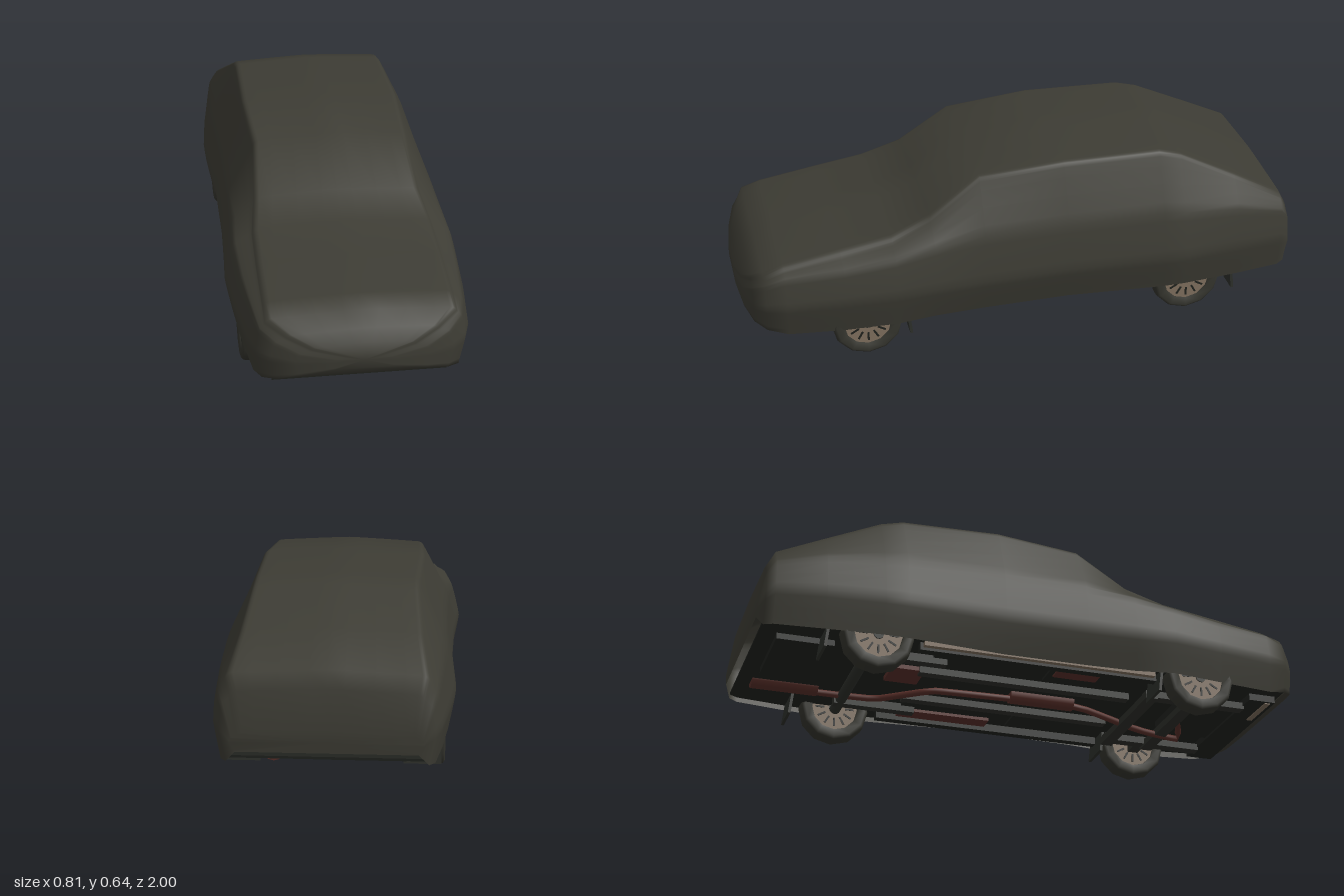
import * as THREE from 'three';

const mat = (name, color, side = THREE.FrontSide) => {
  const m = new THREE.MeshStandardMaterial({ color, side });
  m.name = name;
  return m;
};

export function createModel() {
  const group = new THREE.Group();
  const cloth = mat('cover cloth', 0x3d3c34, THREE.DoubleSide);
  const rubber = mat('tyre rubber', 0x35352e);
  const under = mat('underbody', 0x20221e);
  const frame = mat('chassis metal', 0x2e302b);
  const tan = mat('rim tan', 0x80705f);
  const rust = mat('exhaust rust', 0x5a302a);

  const add = (name, geo, m, x = 0, y = 0, z = 0) => {
    const mesh = new THREE.Mesh(geo, m);
    mesh.name = name;
    mesh.position.set(x, y, z);
    group.add(mesh);
    return mesh;
  };
  const box = (name, m, w, h, d, x, y, z) => add(name, new THREE.BoxGeometry(w, h, d), m, x, y, z);
  const tube = (name, m, pts, r) => {
    const path = new THREE.CatmullRomCurve3(pts.map(p => new THREE.Vector3(...p)), false, 'catmullrom', 0.15);
    return add(name, new THREE.TubeGeometry(path, 36, r, 8), m);
  };

  // Cloth cover: z, hem y, belly half width, shoulder half width, shoulder y, top half width, top y
  const stations = [
    [1.00, 0.19, 0.10, 0.09, 0.225, 0.06, 0.245],
    [0.985, 0.165, 0.22, 0.21, 0.245, 0.17, 0.275],
    [0.96, 0.145, 0.30, 0.285, 0.28, 0.25, 0.315],
    [0.92, 0.13, 0.345, 0.33, 0.31, 0.315, 0.362],
    [0.85, 0.115, 0.368, 0.345, 0.335, 0.315, 0.382],
    [0.65, 0.115, 0.392, 0.365, 0.35, 0.315, 0.415],
    [0.47, 0.12, 0.406, 0.375, 0.375, 0.312, 0.443],
    [0.33, 0.118, 0.398, 0.367, 0.40, 0.293, 0.495],
    [0.15, 0.118, 0.39, 0.362, 0.42, 0.275, 0.62],
    [-0.15, 0.118, 0.387, 0.362, 0.42, 0.287, 0.642],
    [-0.50, 0.118, 0.403, 0.367, 0.42, 0.281, 0.634],
    [-0.58, 0.118, 0.403, 0.367, 0.41, 0.283, 0.612],
    [-0.78, 0.118, 0.386, 0.36, 0.39, 0.302, 0.512],
    [-0.95, 0.12, 0.365, 0.35, 0.35, 0.326, 0.422],
    [-0.98, 0.122, 0.345, 0.335, 0.31, 0.31, 0.367],
    [-1.00, 0.16, 0.31, 0.305, 0.205, 0.29, 0.23],
  ];
  const pos = [], idx = [], spans = 40, row = spans + 1;
  for (const [z, hemY, w, sw, sy, tw, ty] of stations) {
    const bellyY = Math.min(0.25, (hemY + sy) / 2 + 0.01);
    const hemW = w * (Math.abs(z) < 0.4 ? 0.91 : 0.94);
    const edge = Math.min(0.032, (ty - sy) * 0.6);
    const half = [[hemW, hemY], [w, bellyY], [sw, sy], [tw, ty - edge], [tw * 0.92, ty - edge * 0.42]];
    const pts = [...half.map(([x, y]) => [-x, y]), [0, ty], ...half.slice().reverse()];
    const curve = new THREE.CatmullRomCurve3(pts.map(([x, y]) => new THREE.Vector3(x, y, z)), false, 'catmullrom', 0.15);
    for (const p of curve.getPoints(spans)) pos.push(p.x, p.y, p.z);
  }
  // Skin, tucked under the nose
  for (let i = 0; i < stations.length - 1; i++) {
    const tucked = stations[i + 1][0] > 0.9;
    for (let j = 0; j < (tucked ? row : spans); j++) {
      const a = i * row + j, b = i * row + (j + 1) % row, c = a + row, d = b + row;
      idx.push(a, b, c, b, d, c);
    }
  }
  // Nose and tail closures
  const last = (stations.length - 1) * row, nose = last + row, tail = nose + 1;
  pos.push(0, 0.22, 1, 0, 0.195, -1);
  for (let j = 0; j < row; j++) {
    const k = (j + 1) % row;
    idx.push(nose, k, j, tail, last + j, last + k);
  }
  const cover = new THREE.BufferGeometry();
  cover.setAttribute('position', new THREE.Float32BufferAttribute(pos, 3));
  cover.setIndex(idx);
  cover.computeVertexNormals();
  add('clothCover', cover, cloth);

  // Floor pan following the hem outline
  const outline = stations.slice(3, -1).map(([z, , w]) => [w * 0.92, z]);
  const floorShape = new THREE.Shape([
    ...outline.map(([x, z]) => new THREE.Vector2(x, -z)),
    ...outline.slice().reverse().map(([x, z]) => new THREE.Vector2(-x, -z)),
  ]);
  const floor = new THREE.ExtrudeGeometry(floorShape, { depth: 0.008, bevelEnabled: false });
  floor.rotateX(-Math.PI / 2);
  add('floorPan', floor, under, 0, 0.134, 0);
  box('noseTray', under, 0.58, 0.025, 0.1, 0, 0.112, 0.845);
  box('engineBlock', under, 0.26, 0.05, 0.2, -0.05, 0.118, 0.68);
  box('noseTrim', tan, 0.16, 0.004, 0.02, -0.2, 0.098, 0.87);
  box('fuelTank', under, 0.3, 0.03, 0.2, -0.1, 0.128, -0.82);

  // Front subframe
  for (const z of [0.44, 0.6]) box('subframeCrossBar', frame, 0.47, 0.025, 0.045, 0, 0.093, z);

  // Rails, sills and floor panels on each side
  for (const s of [-1, 1]) {
    box('subframeRail', frame, 0.04, 0.025, 0.38, s * 0.21, 0.1, 0.61);
    box('chassisRail', frame, 0.035, 0.025, 0.78, s * 0.12, 0.122, 0);
    box('sill', tan, 0.018, 0.016, 0.84, s * 0.336, 0.124, -0.01);
    box('sillFlange', under, 0.03, 0.03, 0.86, s * 0.312, 0.121, -0.01);
    for (const z of [-0.22, 0.2]) box('floorPanel', under, 0.11, 0.01, 0.3, s * 0.22, 0.13, z);
    box('trailingArm', frame, 0.035, 0.03, 0.3, s * 0.22, 0.118, -0.47);
    box('frontArm', frame, 0.12, 0.02, 0.04, s * 0.25, 0.105, 0.575);
    for (const z of [0.425, -0.77]) {
      const flap = box('mudFlap', frame, 0.125, 0.08, 0.01, s * 0.298, 0.097, z);
      flap.rotation.x = 0.12;
    }
  }
  box('rustPatchFront', rust, 0.06, 0.006, 0.16, -0.25, 0.122, 0.15);
  box('rustPatchRear', rust, 0.12, 0.016, 0.12, -0.07, 0.126, -0.43);
  box('rustPatchSide', rust, 0.06, 0.012, 0.34, 0.25, 0.12, -0.2);

  // Rear axle
  const axle = new THREE.CylinderGeometry(0.02, 0.02, 0.6, 10);
  axle.rotateZ(Math.PI / 2);
  add('rearAxle', axle, frame, 0, 0.12, -0.595);

  // Exhaust line with two silencers
  tube('exhaustPipe', rust, [[-0.08, 0.105, 0.6], [0.11, 0.088, 0.68], [0.07, 0.088, 0.5], [0, 0.115, 0.25],
    [0, 0.115, 0], [0.01, 0.112, -0.3], [0.15, 0.115, -0.48], [0.18, 0.125, -0.68], [0.17, 0.13, -0.92]], 0.012);
  const silencer = (name, r, len, x, y, z) => {
    const g = new THREE.CylinderGeometry(r, r, len, 12);
    g.rotateX(Math.PI / 2);
    add(name, g, rust, x, y, z);
  };
  silencer('middleSilencer', 0.03, 0.24, 0, 0.128, 0.1);
  silencer('rearSilencer', 0.036, 0.24, 0.175, 0.146, -0.81);

  // Wheels: rounded tyre, recessed tan rim, dark hub and slots
  const tyreProfile = [[0.082, -0.024], [0.086, -0.034], [0.112, -0.037], [0.122, -0.03], [0.126, -0.018],
    [0.126, 0.018], [0.122, 0.03], [0.112, 0.037], [0.086, 0.034], [0.082, 0.024]].map(p => new THREE.Vector2(...p));
  for (const s of [-1, 1]) for (const z of [0.575, -0.595]) {
    const wheel = new THREE.Group();
    wheel.name = 'wheel';
    wheel.position.set(s * 0.333, 0.126, z);
    wheel.rotation.z = -s * Math.PI / 2;
    const part = (name, geo, m) => {
      const mesh = new THREE.Mesh(geo, m);
      mesh.name = name;
      wheel.add(mesh);
      return mesh;
    };
    part('tyre', new THREE.LatheGeometry(tyreProfile, 12), rubber);
    part('rim', new THREE.CylinderGeometry(0.084, 0.084, 0.056, 12), tan);
    part('hub', new THREE.CylinderGeometry(0.018, 0.022, 0.064, 10), frame);
    for (let i = 0; i < 12; i++) {
      const a = i * Math.PI / 6;
      const slot = part('rimSlot', new THREE.BoxGeometry(0.032, 0.06, 0.007), under);
      slot.position.set(Math.cos(a) * 0.055, 0, -Math.sin(a) * 0.055);
      slot.rotation.y = a;
    }
    group.add(wheel);
  }
  return group;
}
